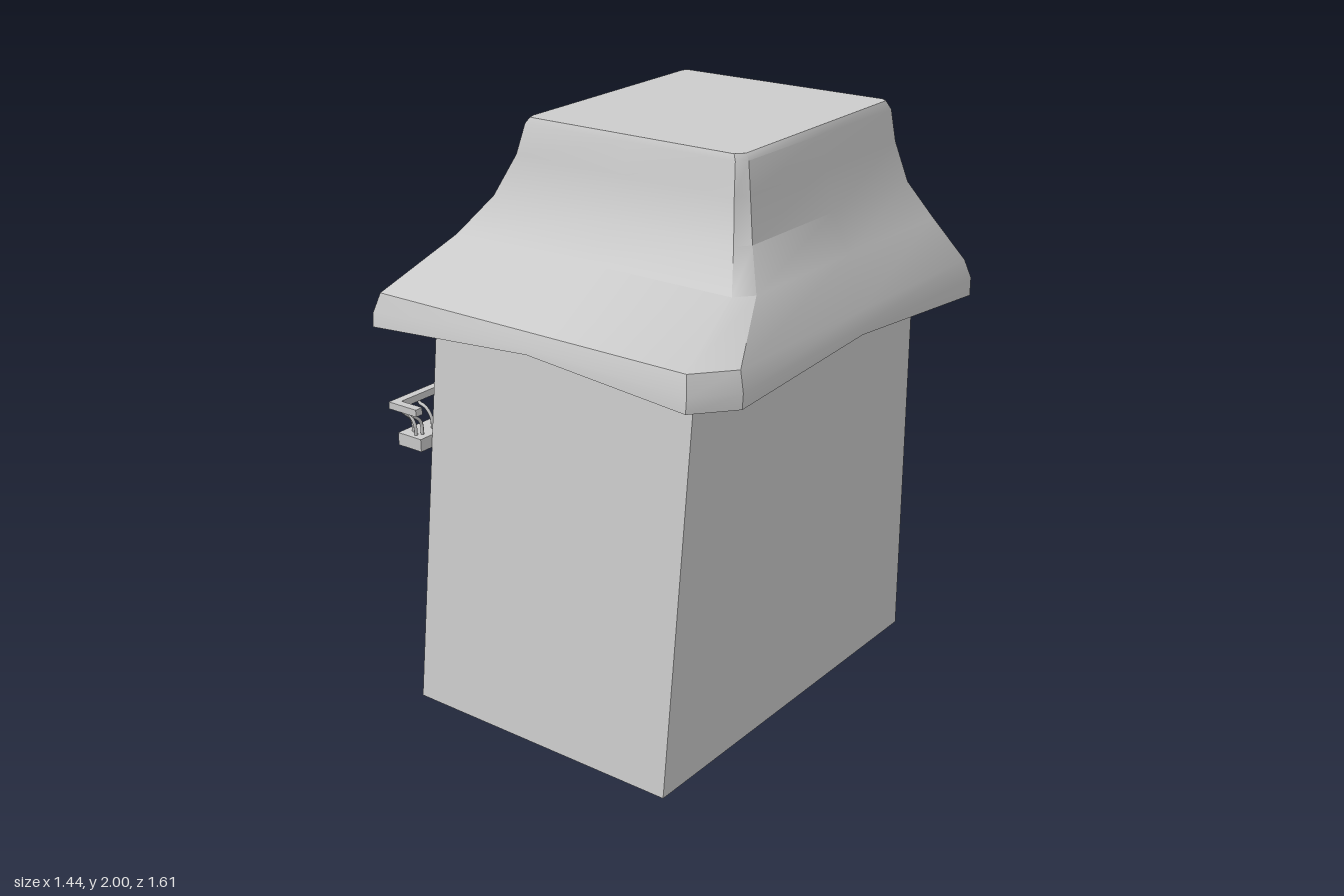
import * as THREE from 'three';
import { toCreasedNormals } from 'three/addons/utils/BufferGeometryUtils.js';

const material = new THREE.MeshStandardMaterial({ color: 0xcccccc, side: THREE.DoubleSide });
const WALL = 0.53, WALL_TOP = 1.36;

function add(parent, name, geometry) {
  const mesh = new THREE.Mesh(geometry, material);
  mesh.name = name;
  parent.add(mesh);
  return mesh;
}

// Box given by its limits on each axis
function block(parent, name, x0, x1, y0, y1, z0, z1) {
  const g = new THREE.BoxGeometry(x1 - x0, y1 - y0, z1 - z0);
  g.translate((x0 + x1) / 2, (y0 + y1) / 2, (z0 + z1) / 2);
  return add(parent, name, g);
}

// Box open towards -x, used as the lining of an opening
function recess(parent, name, z0, z1, y0, y1, depth) {
  const mesh = block(parent, name, -WALL, -WALL + depth, y0, y1, z0, z1);
  const index = Array.from(mesh.geometry.index.array);
  mesh.geometry.setIndex(index.filter((_, i) => i < 6 || i >= 12));
}

// Thin raised border round an opening
function border(parent, name, z0, z1, y0, y1, w) {
  const s = new THREE.Shape([[z0 - w, y0 - w], [z1 + w, y0 - w], [z1 + w, y1 + w], [z0 - w, y1 + w]]
    .map(p => new THREE.Vector2(...p)));
  s.holes.push(rect(z0, z1, y0, y1));
  const g = new THREE.ExtrudeGeometry(s, { depth: 0.008, bevelEnabled: false });
  g.rotateY(-Math.PI / 2).translate(-WALL, 0, 0);
  add(parent, name, g);
}

function rect(z0, z1, y0, y1) {
  return new THREE.Path([[z0, y0], [z0, y1], [z1, y1], [z1, y0]].map(p => new THREE.Vector2(...p)));
}

// Slanted wall between two x limits, z changing from bottom to top
function endWall(parent, name, zBottom, zTop, dir) {
  const g = new THREE.PlaneGeometry(2 * WALL, WALL_TOP);
  if (dir < 0) g.rotateY(Math.PI);
  g.translate(0, WALL_TOP / 2, 0);
  const p = g.attributes.position;
  for (let i = 0; i < p.count; i++) p.setZ(i, p.getY(i) > 0.5 ? zTop : zBottom);
  g.computeVertexNormals();
  add(parent, name, g);
}

// Roof cross-section: rectangle with cut corners and a raised middle on each side
function ring({ x, z, y, cut, lift = 0 }) {
  const [x0, x1] = x, [z0, z1] = z, [yb, yf] = y;
  const l = 0.05 * cut, r = 0.11 * cut, f = 0.13 * cut, b = 0.08 * cut;
  const xm = (x0 + x1) / 2, zm = (z0 + z1) / 2, ym = (yb + yf) / 2 + lift;
  return [
    [xm, yf + lift, z1], [x1 - r, yf, z1], [x1, yf, z1 - f],
    [x1, ym, zm], [x1, yb, z0 + b], [x1 - r, yb, z0],
    [xm, yb + lift, z0], [x0 + l, yb, z0], [x0, yb, z0 + b],
    [x0, ym, zm], [x0, yf, z1 - f], [x0 + l, yf, z1],
  ];
}

function roofGeometry() {
  const rings = [
    { x: [-0.53, 0.53], z: [-0.65, 0.65], y: [1.265, 1.325], cut: 0.04, lift: 0.05 },
    { x: [-0.72, 0.72], z: [-0.8, 0.8], y: [1.32, 1.34], cut: 1, lift: 0.05 },
    { x: [-0.72, 0.72], z: [-0.8, 0.795], y: [1.385, 1.39], cut: 1, lift: 0.02 },
    { x: [-0.7, 0.7], z: [-0.78, 0.775], y: [1.45, 1.455], cut: 0.95 },
    { x: [-0.6, 0.595], z: [-0.69, 0.48], y: [1.595, 1.6], cut: 0.45 },
    { x: [-0.52, 0.515], z: [-0.635, 0.375], y: [1.72, 1.72], cut: 0.35 },
    { x: [-0.455, 0.475], z: [-0.605, 0.325], y: [1.86, 1.86], cut: 0.3 },
    { x: [-0.425, 0.46], z: [-0.59, 0.308], y: [1.97, 1.965], cut: 0.25 },
    { x: [-0.41, 0.445], z: [-0.575, 0.298], y: [2, 1.985], cut: 0.22 },
  ].map(ring);
  const n = 12, verts = rings.flat(2), index = [];
  for (let k = 0; k < rings.length - 1; k++) {
    for (let i = 0; i < n; i++) {
      const a = k * n + i, b = k * n + (i + 1) % n;
      index.push(a, b, b + n, a, b + n, a + n);
    }
  }
  const base = (rings.length - 1) * n, centre = rings.length * n;
  verts.push(0.017, 1.993, -0.14);
  for (let i = 0; i < n; i++) index.push(base + i, base + (i + 1) % n, centre);
  const g = new THREE.BufferGeometry();
  g.setAttribute('position', new THREE.Float32BufferAttribute(verts, 3));
  g.setIndex(index);
  return toCreasedNormals(g, 0.6);
}

export function createModel() {
  const model = new THREE.Group();
  const house = new THREE.Group();
  house.name = 'house';
  model.add(house);

  // Openings in the facade: [name, z0, z1, y0, y1, depth]
  const openings = [
    ['window', -0.43, -0.25, 0.6, 0.79, 0.02],
    ['window', -0.06, 0.13, 0.6, 0.79, 0.02],
    ['window', 0.34, 0.52, 0.6, 0.79, 0.02],
    ['balconyDoor', -0.03, 0.12, 0.96, 1.23, 0.02],
    ['balconyWindow', 0.24, 0.58, 0.98, 1.22, 0.02],
  ];
  const door = { z0: -0.31, z1: 0.61, top: 0.46, depth: 0.06 };

  // Facade on the right side, notched for the wide doorway
  const facade = new THREE.Shape([[-0.645, 0], [door.z0, 0], [door.z0, door.top], [door.z1, door.top],
    [door.z1, 0], [0.81, 0], [0.645, WALL_TOP], [-0.65, WALL_TOP]].map(p => new THREE.Vector2(...p)));
  for (const [, z0, z1, y0, y1] of openings) facade.holes.push(rect(z0, z1, y0, y1));
  add(house, 'facadeWall', new THREE.ShapeGeometry(facade).rotateY(-Math.PI / 2).translate(-WALL, 0, 0));
  for (const [name, z0, z1, y0, y1, depth] of openings) {
    recess(house, name, z0, z1, y0, y1, depth);
    border(house, name + 'Frame', z0, z1, y0, y1, 0.012);
  }

  // Doorway with a pair of stepped posts at each end
  recess(house, 'doorway', door.z0, door.z1, 0, door.top, door.depth);
  for (const [z, s] of [[door.z0, 1], [door.z1, -1]]) {
    for (const [from, to, out] of [[0, 0.05, 0], [0.05, 0.09, 0.025]]) {
      const a = z + s * from, b = z + s * to;
      block(house, 'doorPost', -WALL + out, -WALL + door.depth, 0, door.top, Math.min(a, b), Math.max(a, b));
    }
  }

  // Plain walls
  const side = new THREE.Shape([[-0.81, 0], [0.645, 0], [0.65, WALL_TOP], [-0.645, WALL_TOP]]
    .map(p => new THREE.Vector2(...p)));
  add(house, 'leftWall', new THREE.ShapeGeometry(side).rotateY(Math.PI / 2).translate(WALL, 0, 0));
  endWall(house, 'frontWall', 0.81, 0.645, 1);
  endWall(house, 'backWall', -0.645, -0.65, -1);

  // Flared roof with soffit
  add(model, 'roof', roofGeometry());

  // Balcony: floor slab, rail on three sides, curved balusters
  const balcony = new THREE.Group();
  balcony.name = 'balcony';
  model.add(balcony);
  block(balcony, 'balconyFloor', -0.635, -WALL, 0.91, 0.955, -0.02, 0.75);
  block(balcony, 'rail', -0.64, -0.61, 1.05, 1.075, -0.03, 0.78);
  for (const z of [-0.03, 0.75]) block(balcony, 'endRail', -0.61, -0.515, 1.05, 1.075, z, z + 0.03);
  const bend = new THREE.CatmullRomCurve3([[-0.57, 0.95], [-0.575, 0.995], [-0.6, 1.025], [-0.63, 1.035], [-0.635, 1.055]]
    .map(([x, y]) => new THREE.Vector3(x, y, 0)));
  for (let i = 0; i < 10; i++) {
    add(balcony, 'baluster', new THREE.TubeGeometry(bend, 10, 0.006, 6)).position.z = 0.01 + i * 0.08;
  }
  // End balusters bowing past the slab
  for (const x of [-0.6, -0.56]) {
    const bow = new THREE.CatmullRomCurve3([[0.95, 0.71], [1.0, 0.715], [1.03, 0.745], [1.055, 0.77]]
      .map(([y, z]) => new THREE.Vector3(x, y, z)));
    add(balcony, 'endBaluster', new THREE.TubeGeometry(bow, 10, 0.006, 6));
  }
  return model;
}
